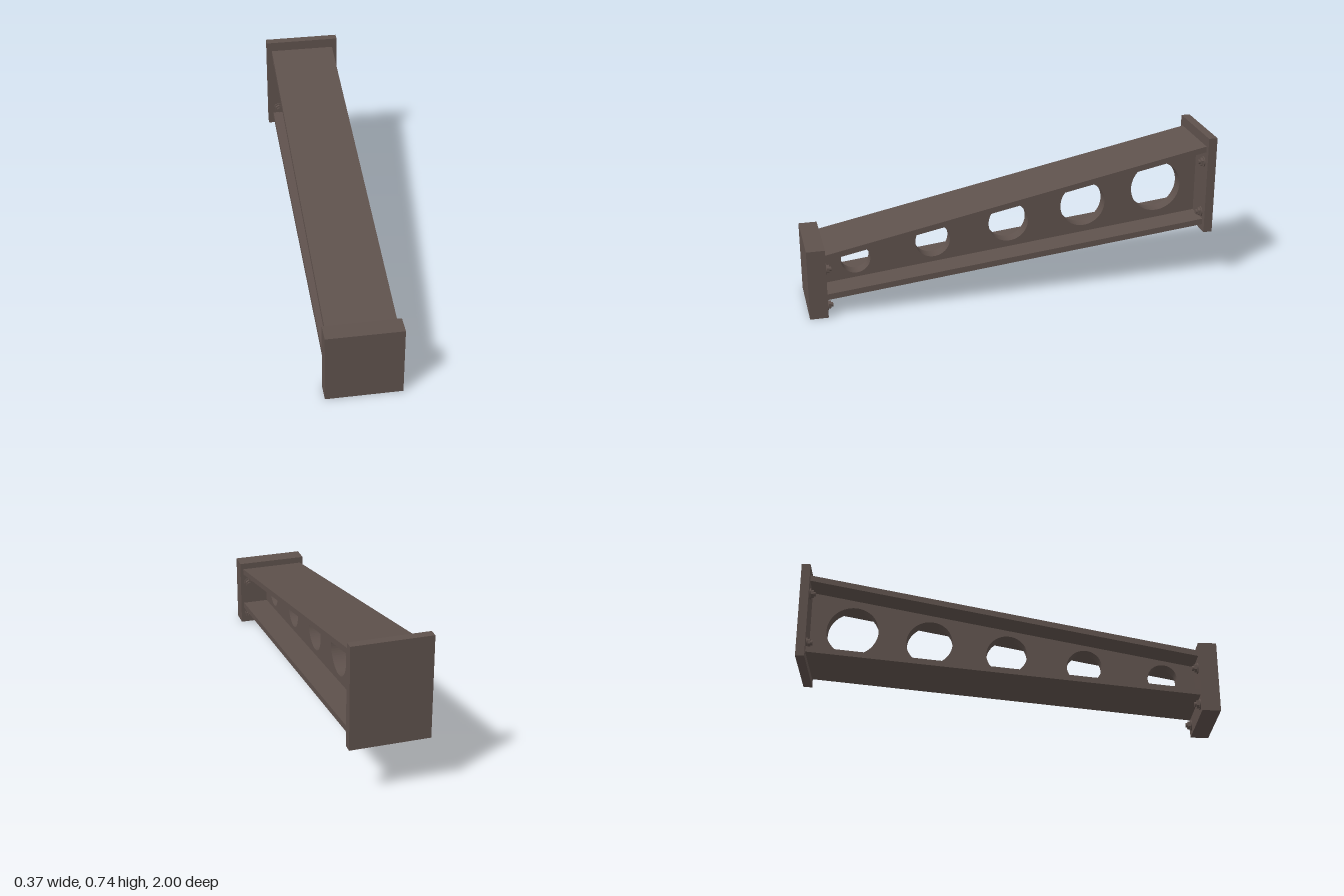
import * as THREE from 'three';

const FRONT = 0.912, BACK = -0.957; // beam ends along z

export function createModel() {
  const group = new THREE.Group();
  const steel = new THREE.MeshStandardMaterial({ color: 0x5e514c });
  steel.name = 'brown steel';

  const add = (name, geometry, parent = group) => {
    const mesh = new THREE.Mesh(geometry, steel);
    mesh.name = name;
    parent.add(mesh);
    return mesh;
  };

  // Tapered side profile; each pair is the height at the front and back end
  const profile = (low, high) => new THREE.Shape([
    new THREE.Vector2(-FRONT, low[0]), new THREE.Vector2(-BACK, low[1]),
    new THREE.Vector2(-BACK, high[1]), new THREE.Vector2(-FRONT, high[0]),
  ]);
  // Extrude a side profile across the width, centred on x = 0
  const across = (shape, width) => new THREE.ExtrudeGeometry(shape, {
    depth: width, bevelEnabled: false, curveSegments: 32,
  }).translate(0, 0, -width / 2).rotateY(Math.PI / 2);

  // Sloped flanges
  add('topFlange', across(profile([0.286, 0.663], [0.315, 0.692]), 0.324));
  add('bottomFlange', across(profile([0.085, 0.283], [0.114, 0.312]), 0.324));

  // Web with growing round openings
  const web = profile([0.114, 0.312], [0.286, 0.663]);
  for (let i = 0; i < 5; i++) {
    const hole = new THREE.Path();
    hole.absarc(-0.755 + i * 0.3765, 0.223 + i * 0.058, 0.071 + i * 0.014, 0, Math.PI * 2, true);
    web.holes.push(hole);
  }
  add('web', across(web, 0.064));

  // End plates
  const plate = (name, width, y0, y1, z0, z1) =>
    add(name, new THREE.BoxGeometry(width, y1 - y0, z1 - z0)
      .translate(0, (y0 + y1) / 2, (z0 + z1) / 2));
  plate('frontPlate', 0.354, 0, 0.347, FRONT, 1);
  plate('backPlate', 0.374, 0.25, 0.74, -1, BACK);

  // Bolts on the inner faces of the plates: washer, hex nut and stud
  const layers = [
    ['washer', 0.026, 0.006, 24],
    ['nut', 0.021, 0.018, 6],
    ['stud', 0.011, 0.028, 16],
  ];
  const bolt = (x, y, z, dir) => {
    const b = new THREE.Group();
    b.name = 'bolt';
    for (const [name, radius, height, sides] of layers) {
      const g = new THREE.CylinderGeometry(radius, radius, height, sides)
        .translate(0, height / 2, 0).rotateX(dir * Math.PI / 2);
      add(name, sides === 6 ? flat(g) : g, b);
    }
    b.position.set(x, y, z);
    group.add(b);
  };
  for (const x of [-0.133, 0.133]) {
    for (const y of [0.047, 0.233]) bolt(x, y, FRONT, -1);
    for (const y of [0.342, 0.605]) bolt(x, y, BACK, 1);
  }
  return group;
}

// Hard facets for the hex nuts
function flat(geometry) {
  const g = geometry.toNonIndexed();
  g.computeVertexNormals();
  return g;
}
